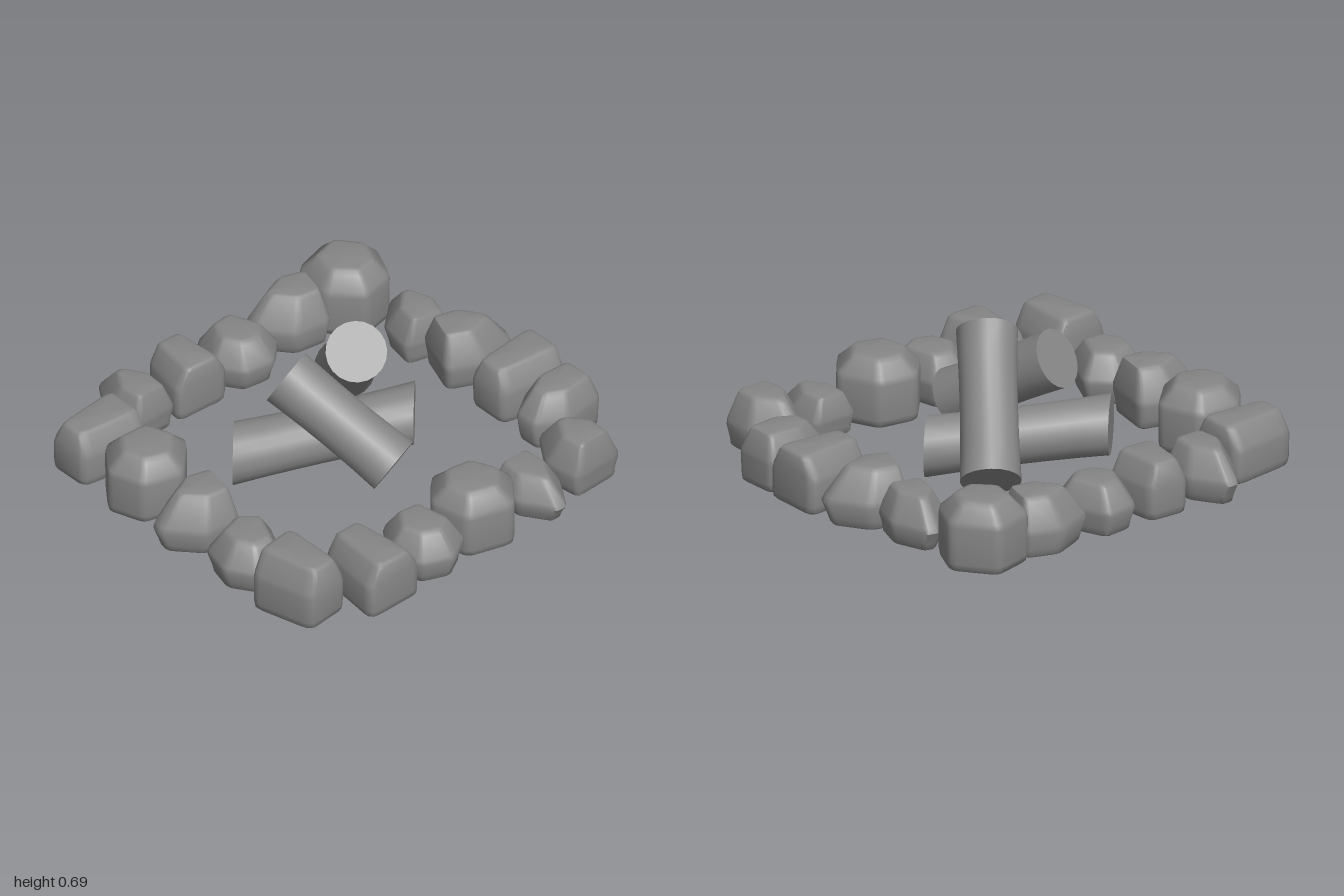
import * as THREE from 'three';
import { toCreasedNormals } from 'three/addons/utils/BufferGeometryUtils.js';

const material = new THREE.MeshStandardMaterial({ color: 0x868686 });

// Stone shapes: footprint [x, z], base scale, shoulder (share of height),
// plateau scale in x and z, and how far the plateau shifts along z
const SHAPES = {
  boulder: { base: 0.98, shoulder: 0.66, topX: 0.62, topZ: 0.62, shift: 0,
    outline: [[0.03, -0.195], [0.185, -0.04], [0.13, 0.14], [-0.03, 0.195], [-0.175, 0.08], [-0.16, -0.12]] },
  block: { base: 0.98, shoulder: 0.55, topX: 0.58, topZ: 0.88, shift: -0.01,
    outline: [[-0.145, -0.165], [0.145, -0.165], [0.1, 0.165], [-0.1, 0.165]] },
  pointed: { base: 0.88, shoulder: 0.4, topX: 0.56, topZ: 0.6, shift: -0.04,
    outline: [[-0.125, -0.16], [0.125, -0.16], [0.14, 0.02], [0.03, 0.175], [-0.03, 0.175], [-0.14, 0.02]] },
  stub: { base: 0.94, shoulder: 0.5, topX: 0.6, topZ: 0.66, shift: -0.025,
    outline: [[-0.112, -0.165], [0.112, -0.165], [0.135, 0.05], [0.055, 0.175], [-0.055, 0.175], [-0.135, 0.05]] },
  pebble: { base: 0.86, shoulder: 0.45, topX: 0.56, topZ: 0.56, shift: -0.01,
    outline: [[-0.13, -0.15], [0.14, -0.135], [0.185, 0.01], [0.1, 0.13], [-0.06, 0.15], [-0.185, 0]] },
};

// Ring of stones: shape, x, z, turn in degrees, height, width scale, length scale
const STONES = [
  ['boulder', -0.735, -0.7, -83, 0.3, 1, 1],
  ['pointed', -0.4, -0.78, 105, 0.22, 0.92, 0.95],
  ['pointed', -0.1, -0.83, 200, 0.26, 1.04, 1],
  ['block', 0.19, -0.825, 0, 0.255, 1, 1],
  ['stub', 0.45, -0.815, -2, 0.25, 0.95, 1],
  ['pointed', 0.72, -0.67, 87, 0.25, 1.03, 0.96],
  ['pointed', 0.785, -0.4, -90, 0.19, 0.88, 0.95],
  ['boulder', 0.745, -0.085, 61, 0.29, 1, 1],
  ['pebble', 0.755, 0.225, -14, 0.225, 1, 1],
  ['block', 0.75, 0.505, 89, 0.255, 1, 1],
  ['block', 0.645, 0.79, -96, 0.285, 1.06, 0.93],
  ['pebble', 0.31, 0.81, 22, 0.22, 1, 1],
  ['pointed', -0.01, 0.82, 11, 0.265, 1.06, 0.98],
  ['boulder', -0.345, 0.77, 0, 0.29, 1, 1],
  ['block', -0.665, 0.77, 0, 0.25, 1, 1],
  ['pointed', -0.785, 0.47, 90, 0.23, 0.9, 0.97],
  ['block', -0.755, 0.195, 93, 0.25, 0.94, 0.77],
  ['pebble', -0.735, -0.08, -26, 0.22, 0.96, 1],
  ['pointed', -0.775, -0.385, 14, 0.26, 1.04, 0.98],
];

// Replace each footprint corner with a short curve
function roundCorners(points, cut = 0.16) {
  const p = points.map(([x, z]) => new THREE.Vector2(x, z));
  return p.flatMap((corner, i) => {
    const before = p[(i + p.length - 1) % p.length], after = p[(i + 1) % p.length];
    return new THREE.QuadraticBezierCurve(
      corner.clone().lerp(before, cut), corner, corner.clone().lerp(after, cut)).getPoints(3);
  });
}

// Stack scaled footprints from the ground to the plateau and close both ends
function stoneGeometry({ outline, base, shoulder, topX, topZ, shift }, h, sx, sz) {
  const loop = roundCorners(outline), n = loop.length;
  // Each ring: x scale, z scale, height, z shift
  const rings = [
    [base - 0.05, base - 0.05, 0, shift * 0.3],
    [base, base, 0.008, shift * 0.3],
    [base + 0.03, base + 0.03, 0.035, shift * 0.2],
    [1.015, 1.015, shoulder * h, 0],
    [0.975, 0.99, (shoulder + 0.1) * h, shift * 0.15],
    [topX + 0.08, topZ + 0.07, 0.93 * h, shift * 0.85],
    [topX, topZ, 0.985 * h, shift],
    [topX - 0.1, topZ - 0.1, h, shift],
  ];
  const pos = [], index = [];
  for (const [kx, kz, y, dz] of rings)
    for (const q of loop) pos.push(q.x * kx * sx, y, (q.y * kz + dz) * sz);
  const bottom = rings.length * n, cap = bottom + 1, last = (rings.length - 1) * n;
  pos.push(0, 0, 0, 0, h, shift * sz);
  for (let i = 0; i < n; i++) {
    const j = (i + 1) % n;
    for (let r = 0; r < last; r += n)
      index.push(r + i, r + n + i, r + n + j, r + i, r + n + j, r + j);
    index.push(bottom, i, j, cap, last + j, last + i);
  }
  const g = new THREE.BufferGeometry();
  g.setAttribute('position', new THREE.Float32BufferAttribute(pos, 3));
  g.setIndex(index);
  return toCreasedNormals(g, 0.8);
}

// Log between two end centres, slightly waisted; an optional side vector slants its cut ends
function makeLog(name, from, to, radius, side) {
  const a = new THREE.Vector3(...from), b = new THREE.Vector3(...to);
  const axis = b.clone().sub(a);
  const u = side ? new THREE.Vector3(...side)
    : axis.clone().cross(new THREE.Vector3(0, 1, 0)).setLength(radius);
  const v = u.clone().cross(axis).setLength(radius);
  const g = new THREE.CylinderGeometry(1, 1, 1, 20, 6);
  const p = g.attributes.position;
  for (let i = 0; i < p.count; i++) {
    const y = p.getY(i), waist = 1 - 0.06 * (1 - 4 * y * y);
    p.setXYZ(i, p.getX(i) * waist, y, p.getZ(i) * waist);
  }
  g.applyMatrix4(new THREE.Matrix4().makeBasis(u, axis, v).setPosition(a.add(b).multiplyScalar(0.5)));
  const mesh = new THREE.Mesh(toCreasedNormals(g, 0.7), material);
  mesh.name = name;
  return mesh;
}

export function createModel() {
  const model = new THREE.Group();
  model.name = 'campfire';

  // Stone ring
  const ring = new THREE.Group();
  ring.name = 'stoneRing';
  STONES.forEach(([shape, x, z, turn, h, sx, sz], i) => {
    const stone = new THREE.Mesh(stoneGeometry(SHAPES[shape], h, sx, sz), material);
    stone.name = `${shape}Stone${i + 1}`;
    stone.position.set(x, 0, z);
    stone.rotation.y = -THREE.MathUtils.degToRad(turn);
    ring.add(stone);
  });

  // Stacked logs
  const logs = new THREE.Group();
  logs.name = 'logs';
  logs.add(
    makeLog('groundLog', [-0.2, 0.13, 0.415], [0.1, 0.13, -0.335], 0.13, [0.103, 0, 0.098]),
    makeLog('middleLog', [0.355, 0.175, 0.01], [-0.12, 0.465, 0.19], 0.13),
    makeLog('topLog', [-0.335, 0.12, -0.335], [0.07, 0.59, -0.035], 0.13),
  );

  model.add(ring, logs);
  return model;
}
